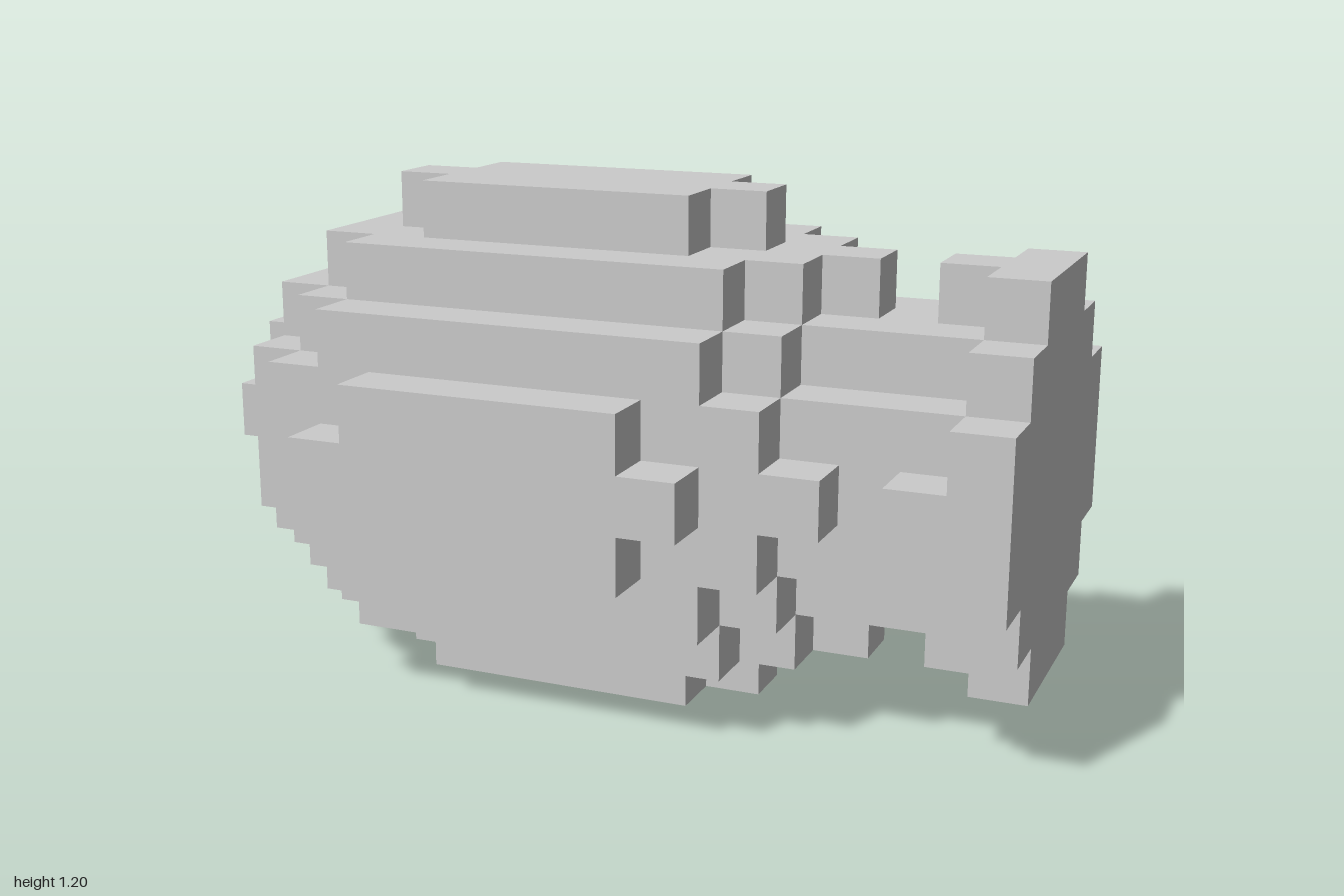
import * as THREE from 'three';

const U = 2 / 15; // edge of one block

// Half widths, in blocks from the axis, of each row counted outwards from the middle row
const PLUS = [1, 0];
const SMALL = [2, 2, 1];
const SMALL_TIPS = [3, 2, 1, 0];
const MEDIUM = [3, 3, 2, 1];
const LARGE_TIPS = [4, 3, 3, 2, 0];
const LARGE = [4, 4, 3, 2, 1];

// Stepped outline, symmetric about both axes
function steppedShape(rows) {
  const side = [];
  const n = rows.length - 1;
  for (let b = -n; b <= n; b++) {
    const w = (rows[Math.abs(b)] + 0.5) * U;
    const last = side[side.length - 1];
    if (last && last.x === w) last.y = (b + 0.5) * U;
    else side.push(new THREE.Vector2(w, (b - 0.5) * U), new THREE.Vector2(w, (b + 0.5) * U));
  }
  const mirrored = side.map((p) => new THREE.Vector2(-p.x, p.y)).reverse();
  return new THREE.Shape([...side, ...mirrored]);
}

export function createModel() {
  const model = new THREE.Group();
  model.name = 'blockCapsule';
  const material = new THREE.MeshStandardMaterial({ color: 0xcccccc, flatShading: true });

  // Slices along x: name, outline, length in blocks
  const slices = [
    ['noseTip', PLUS, 1],
    ['noseStep', SMALL, 1],
    ['noseShoulder', MEDIUM, 1],
    ['bodyFrontRim', LARGE_TIPS, 1],
    ['body', LARGE, 5],
    ['bodyRearRim', LARGE_TIPS, 1],
    ['rearShoulder', MEDIUM, 1],
    ['rearStep', SMALL_TIPS, 1],
    ['neck', SMALL, 1],
    ['tailStep', SMALL_TIPS, 1],
    ['tailPlate', MEDIUM, 1],
  ];

  let x = -1;
  for (const [name, rows, length] of slices) {
    const geometry = new THREE.ExtrudeGeometry(steppedShape(rows), { depth: length * U, bevelEnabled: false });
    geometry.rotateY(Math.PI / 2);
    const mesh = new THREE.Mesh(geometry, material);
    mesh.name = name;
    mesh.position.set(x, 4.5 * U, 0);
    model.add(mesh);
    x += length * U;
  }
  return model;
}
